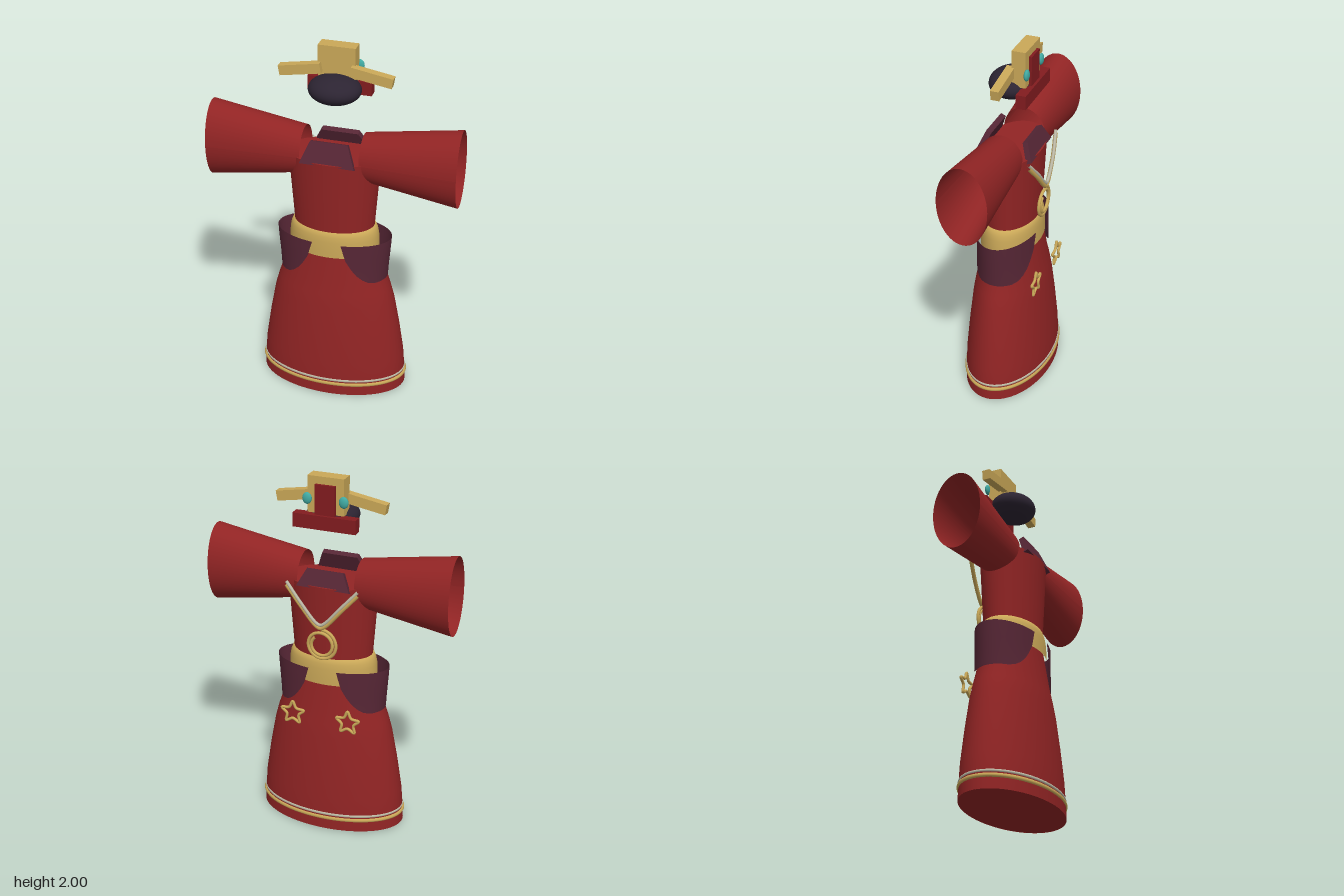
import * as THREE from 'three';

const material = (name, color, side = THREE.FrontSide) => {
  const m = new THREE.MeshStandardMaterial({ color, side });
  m.name = name;
  return m;
};

export function createModel() {
  const model = new THREE.Group();
  model.name = 'robeAndHeaddress';
  const red = material('robe red', 0x912424, THREE.DoubleSide);
  const deepRed = material('deep red', 0x821c1f);
  const plum = material('plum', 0x562635, THREE.DoubleSide);
  const gold = material('gold', 0xcaa858);
  const silver = material('pale silver', 0xbcb8a4);
  const teal = material('teal', 0x41aaa2);
  const dark = material('dark hair', 0x2c2432);

  const add = (name, geometry, mat, x = 0, y = 0, z = 0) => {
    const mesh = new THREE.Mesh(geometry, mat);
    mesh.name = name;
    mesh.position.set(x, y, z);
    model.add(mesh);
    return mesh;
  };
  const box = (name, w, h, d, mat, x, y, z) => add(name, new THREE.BoxGeometry(w, h, d), mat, x, y, z);
  // Turned body flattened front to back
  const lathe = (name, profile, flat, mat) => add(name,
    new THREE.LatheGeometry(profile.map(([r, y]) => new THREE.Vector2(r, y)), 64).scale(1, 1, flat), mat);
  const tube = (name, points, r, mat, closed = false) => add(name,
    new THREE.TubeGeometry(new THREE.CatmullRomCurve3(points, closed, 'centripetal'), 90, r, 8, closed), mat);
  const v = (x, y, z) => new THREE.Vector3(x, y, z);

  // Skirt with closed underside
  lathe('skirt', [[0.413, 0], [0.408, 0.1], [0.4, 0.2], [0.372, 0.38], [0.34, 0.55], [0.318, 0.63],
    [0.295, 0.7], [0.255, 0.86], [0.222, 1]], 0.57, red);
  const base = add('skirtUnderside', new THREE.CircleGeometry(0.413, 64).scale(1, 0.57, 1), red, 0, 0.001, 0);
  base.rotation.x = Math.PI / 2;

  // Torso and belt
  add('torso', new THREE.CylinderGeometry(0.252, 0.22, 0.43, 64).scale(1, 1, 0.65), red, 0, 1.205, 0);
  lathe('belt', [[0.25, 0.86], [0.249, 0.9], [0.246, 0.95], [0.24, 0.98], [0.228, 1.008], [0.2, 1.01]], 0.645, gold);

  // Hem trims
  const hem = (name, r, t, y, mat) => {
    const g = new THREE.TorusGeometry(r, t, 8, 80).rotateX(Math.PI / 2).scale(1, 1, 0.575);
    add(name, g, mat, 0, y, 0);
  };
  hem('goldHem', 0.409, 0.011, 0.07, gold);
  hem('silverHem', 0.405, 0.008, 0.094, silver);

  // Rounded hip panels: rows of [height, half x, half z, half angle in degrees]
  const rows = [[0.945, 0.318, 0.168, 75.5], [0.9, 0.315, 0.169, 73], [0.85, 0.311, 0.17, 70], [0.8, 0.307, 0.171, 64],
    [0.76, 0.304, 0.173, 57.5], [0.73, 0.302, 0.175, 50], [0.71, 0.301, 0.177, 42], [0.7, 0.3, 0.178, 32]];
  for (const s of [1, -1]) {
    const n = 24, pos = [], idx = [];
    rows.forEach(([y, a, b, deg], r) => {
      for (let i = 0; i <= n; i++) {
        const t = THREE.MathUtils.degToRad(deg) * (1 - 2 * i / n);
        pos.push(s * a * Math.cos(t), y, s * b * Math.sin(t));
        if (r && i) {
          const q = r * (n + 1) + i, p = q - n - 1;
          idx.push(p - 1, p, q - 1, p, q, q - 1);
        }
      }
    });
    const g = new THREE.BufferGeometry();
    g.setAttribute('position', new THREE.Float32BufferAttribute(pos, 3));
    g.setIndex(idx);
    g.computeVertexNormals();
    add(s > 0 ? 'leftHipPanel' : 'rightHipPanel', g, plum);
  }

  // Wide open sleeves
  for (const s of [1, -1]) {
    const g = new THREE.CylinderGeometry(1, 1, 1, 48, 1, true).rotateZ(-Math.PI / 2);
    const p = g.attributes.position;
    for (let i = 0; i < p.count; i++) {
      const outer = p.getX(i) * s > 0;
      p.setXYZ(i, s * (outer ? 0.675 : 0.16), 1.416 + p.getY(i) * (outer ? 0.218 : 0.131),
        p.getZ(i) * (outer ? 0.136 : 0.116));
    }
    g.computeVertexNormals();
    add(s > 0 ? 'leftSleeve' : 'rightSleeve', g, red);
  }

  // Leaning collar plates
  const collar = (name, h, s) => {
    const shape = new THREE.Shape([[-0.148, 0], [0.148, 0], [0.1, h], [-0.1, h]].map(([x, y]) => new THREE.Vector2(x, y)));
    const g = new THREE.ExtrudeGeometry(shape, { depth: 0.03, bevelEnabled: false }).translate(0, 0, -0.03);
    const mesh = add(name, g, plum, 0, 1.41, s * 0.158);
    mesh.rotation.order = 'YXZ';
    mesh.rotation.set(-0.4, s > 0 ? 0 : Math.PI, 0);
  };
  collar('frontCollar', 0.125, 1);
  collar('backCollar', 0.1, -1);

  // Back cords, hanging coil and star ornaments
  const cord = (name, dy, z, r, mat) => tube(name, [v(-0.2, 1.41 + dy, -0.163), v(-0.11, 1.31 + dy, z + 0.006),
    v(-0.025, 1.215 + dy, z), v(0, 1.203 + dy, z), v(0.025, 1.215 + dy, z), v(0.11, 1.31 + dy, z + 0.006),
    v(0.2, 1.41 + dy, -0.163)], r, mat);
  cord('goldCord', 0, -0.187, 0.012, gold);
  cord('silverCord', 0.018, -0.19, 0.009, silver);
  const coil = [];
  for (let i = 0; i <= 40; i++) {
    const t = i / 40, a = Math.PI / 2 + t * Math.PI * 3.8, r = 0.088 - 0.036 * t;
    coil.push(v(r * Math.cos(a), 1.1 + r * Math.sin(a), -0.172 - 0.006 * t));
  }
  tube('backCoil', coil, 0.009, gold);
  for (const s of [1, -1]) {
    const pts = [];
    for (let i = 0; i < 10; i++) {
      const a = Math.PI / 2 + i * Math.PI / 5, r = i % 2 ? 0.036 : 0.068;
      pts.push(v(s * 0.16 + r * Math.cos(a), 0.675 + r * Math.sin(a), -0.196));
    }
    tube(s > 0 ? 'leftStar' : 'rightStar', pts, 0.008, gold, true);
  }

  // Hair and headdress
  add('hair', new THREE.SphereGeometry(1, 40, 24).scale(0.14, 0.075, 0.123), dark, 0, 1.78, 0);
  box('headdressPlate', 0.2, 0.195, 0.075, gold, 0, 1.9025, -0.068);
  box('headdressBackPanel', 0.11, 0.19, 0.016, deepRed, 0, 1.865, -0.113);
  box('headdressBar', 0.346, 0.075, 0.054, deepRed, 0, 1.763, -0.108);
  for (const s of [1, -1]) {
    const side = s > 0 ? 'left' : 'right';
    box(side + 'Wing', 0.226, 0.054, 0.045, gold, s * 0.19, 1.864, -0.022).rotation.z = -s * 0.17;
    add(side + 'Bead', new THREE.SphereGeometry(1, 20, 14).scale(0.026, 0.031, 0.014), teal, s * 0.1, 1.88, -0.112);
  }
  return model;
}
